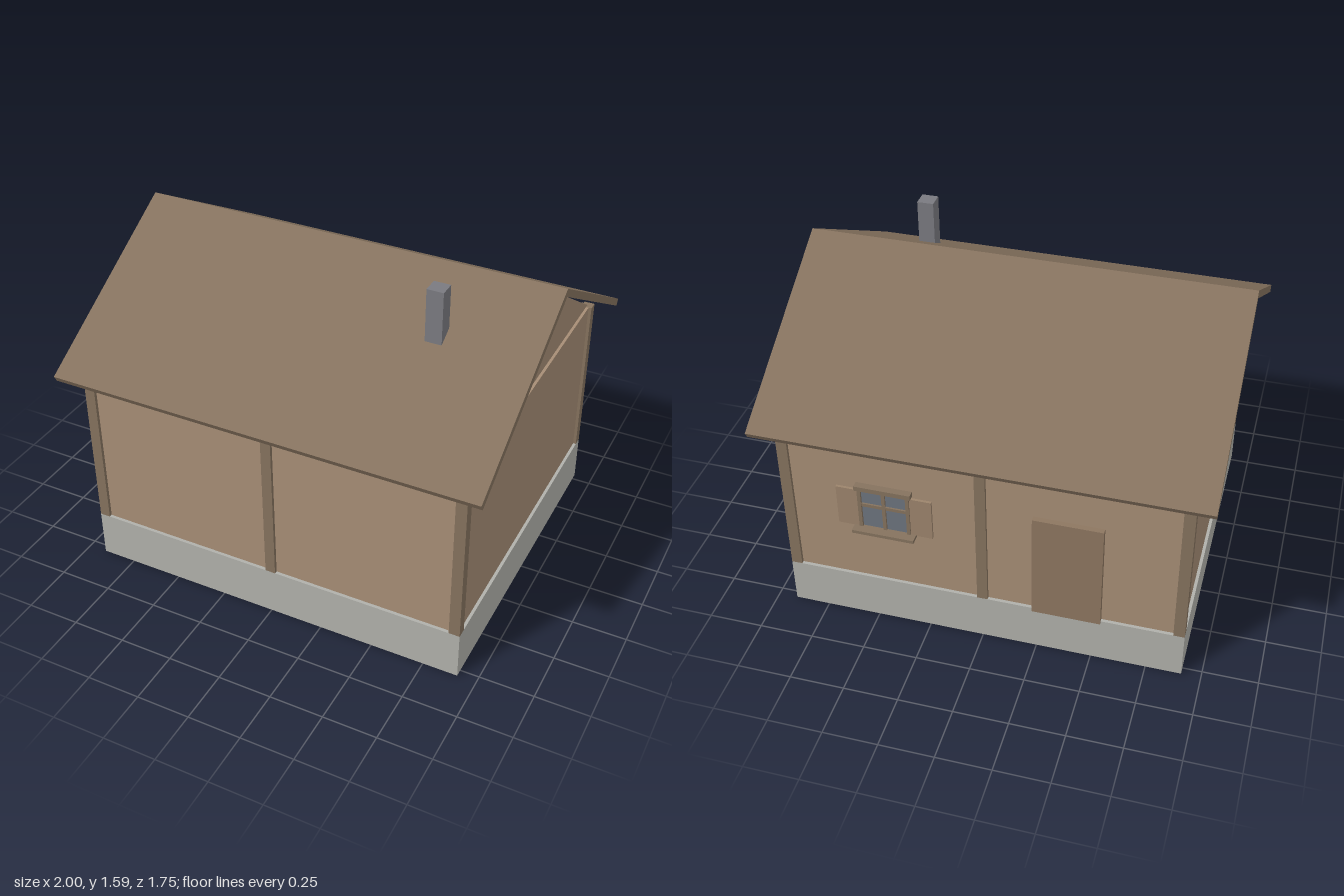
import * as THREE from 'three';

const mat = (color) => new THREE.MeshStandardMaterial({ color });
const MATS = {
  stone: mat(0xb0b0aa), wall: mat(0xa68d75), timber: mat(0x85725e),
  door: mat(0x8d7660), shutter: mat(0x9c846c), glass: mat(0x6c747e), chimney: mat(0x7a7a80),
};

// Box given by its minimum and maximum on each axis
function block(parent, name, m, [x0, x1], [y0, y1], [z0, z1]) {
  const mesh = new THREE.Mesh(new THREE.BoxGeometry(x1 - x0, y1 - y0, z1 - z0), MATS[m]);
  mesh.position.set((x0 + x1) / 2, (y0 + y1) / 2, (z0 + z1) / 2);
  mesh.name = name;
  parent.add(mesh);
  return mesh;
}

// Outline in (z, y), extruded along x and centred on x = 0
function prism(parent, name, m, points, length) {
  const shape = new THREE.Shape(points.map(([z, y]) => new THREE.Vector2(-z, y)));
  const geo = new THREE.ExtrudeGeometry(shape, { depth: length, bevelEnabled: false });
  geo.translate(0, 0, -length / 2);
  geo.rotateY(Math.PI / 2);
  const mesh = new THREE.Mesh(geo, MATS[m]);
  mesh.name = name;
  parent.add(mesh);
  return mesh;
}

// Window with cross bars, lintel, sill and open shutters, on the back wall
function buildWindow() {
  const win = new THREE.Group();
  win.name = 'window';
  const cx = 0.435, w = 0.11;
  const span = (a, b) => [cx + a, cx + b];
  block(win, 'glass', 'glass', span(-w, w), [0.54, 0.76], [-0.784, -0.76]);
  for (const s of [-1, 1]) {
    const inner = s * w, outer = s * 0.217;
    block(win, 'shutter', 'shutter', span(Math.min(inner, outer), Math.max(inner, outer)),
      [0.54, 0.745], [-0.788, -0.776]);
    block(win, 'frameSide', 'timber', span(s * w - 0.008, s * w + 0.008), [0.54, 0.76], [-0.795, -0.765]);
  }
  block(win, 'verticalBar', 'timber', span(-0.008, 0.008), [0.54, 0.76], [-0.793, -0.77]);
  block(win, 'horizontalBar', 'timber', span(-w, w), [0.66, 0.676], [-0.792, -0.77]);
  block(win, 'lintel', 'timber', span(-0.128, 0.128), [0.752, 0.775], [-0.802, -0.76]);
  block(win, 'sill', 'timber', span(-0.142, 0.142), [0.529, 0.545], [-0.83, -0.76]);
  return win;
}

export function createModel() {
  const house = new THREE.Group();
  house.name = 'house';

  // Base and walls
  block(house, 'foundation', 'stone', [-0.912, 0.912], [0, 0.23], [-0.785, 0.785]);
  block(house, 'walls', 'wall', [-0.898, 0.898], [0.23, 1.025], [-0.77, 0.77]);
  prism(house, 'gables', 'wall', [[-0.76, 1.025], [0, 1.515], [0.76, 1.025]], 1.77);

  // Corner posts and the middle post of each long wall
  for (const s of [-1, 1]) {
    const z = s > 0 ? [0.738, 0.785] : [-0.785, -0.738];
    block(house, 'cornerPost', 'timber', [0.862, 0.912], [0.23, 1.025], z);
    block(house, 'cornerPost', 'timber', [-0.912, -0.862], [0.23, 1.025], z);
    block(house, 'middlePost', 'timber', [-0.024, 0.024], [0.23, 1.025], z);
  }

  // Pitched roof of even thickness
  prism(house, 'roof', 'timber', [
    [0, 1.535], [0.874, 1.03], [0.857, 1.0], [0, 1.496], [-0.857, 1.0], [-0.874, 1.03],
  ], 2);

  block(house, 'chimney', 'chimney', [0.517, 0.593], [1.325, 1.585], [0.265, 0.34]);
  block(house, 'door', 'door', [-0.54, -0.23], [0.22, 0.76], [-0.795, -0.76]);
  house.add(buildWindow());
  return house;
}
